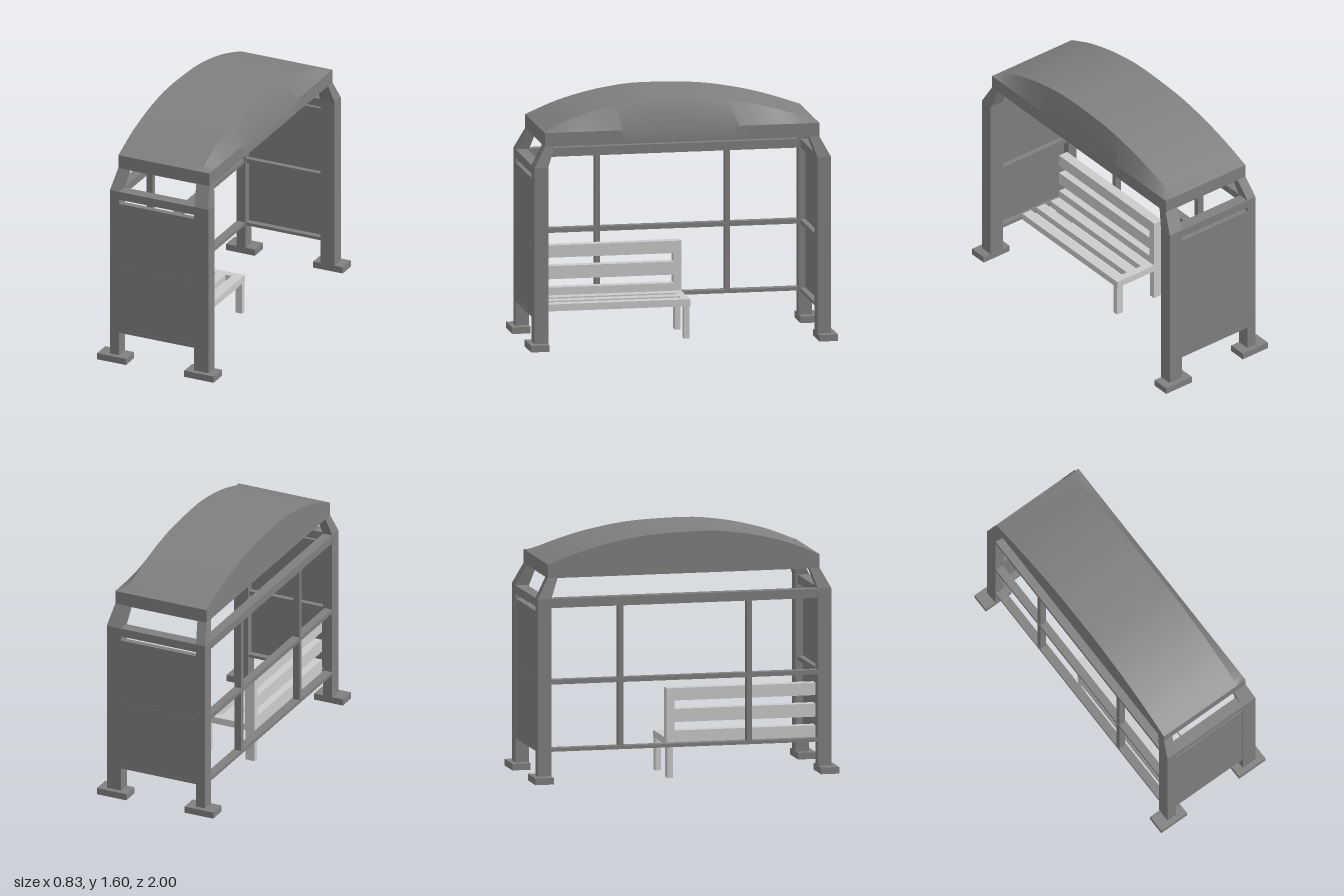
import * as THREE from 'three';
import { toCreasedNormals } from 'three/addons/utils/BufferGeometryUtils.js';

const frameMat = new THREE.MeshStandardMaterial({ color: 0x808080 });
const benchMat = new THREE.MeshStandardMaterial({ color: 0xcccccc });

// Box given by its limits on each axis
function box(parent, name, mat, [x0, x1], [y0, y1], [z0, z1]) {
  const mesh = new THREE.Mesh(new THREE.BoxGeometry(x1 - x0, y1 - y0, z1 - z0), mat);
  mesh.position.set((x0 + x1) / 2, (y0 + y1) / 2, (z0 + z1) / 2);
  mesh.name = name;
  parent.add(mesh);
  return mesh;
}

// Leaning strut: a box whose bottom and top rectangles differ
function strut(parent, name, mat, bottom, top) {
  const geo = new THREE.BoxGeometry(1, 1, 1);
  const p = geo.attributes.position;
  for (let i = 0; i < p.count; i++) {
    const r = p.getY(i) > 0 ? top : bottom;
    p.setXYZ(i, r.x[p.getX(i) > 0 ? 1 : 0], r.y, r.z[p.getZ(i) > 0 ? 1 : 0]);
  }
  geo.computeVertexNormals();
  const mesh = new THREE.Mesh(geo, mat);
  mesh.name = name;
  parent.add(mesh);
}

// Arched roof with a bevelled open-side edge, lofted along z
function roofGeometry() {
  const arch = new THREE.SplineCurve([
    [-0.895, 1.42], [-0.7, 1.487], [-0.5, 1.541], [-0.25, 1.584], [0, 1.598],
    [0.2, 1.598], [0.35, 1.582], [0.5, 1.555], [0.7, 1.5], [0.895, 1.42],
  ].map(([z, y]) => new THREE.Vector2(z, y)));
  const rings = arch.getPoints(36).map(({ x: z, y }) => [
    [-0.315, 1.33, z], [0.335, 1.33, z], [0.335, 1.42, z], [0.27, y, z], [-0.315, y, z],
  ]);
  const pos = [];
  const tri = (...corners) => corners.forEach((c) => pos.push(...c));
  for (let i = 0; i < rings.length - 1; i++) {
    const a = rings[i], b = rings[i + 1];
    for (let j = 0; j < 5; j++) {
      const k = (j + 1) % 5;
      tri(a[j], a[k], b[k]);
      tri(a[j], b[k], b[j]);
    }
  }
  const first = rings[0], last = rings[rings.length - 1];
  for (let j = 1; j < 4; j++) {
    tri(first[0], first[j + 1], first[j]);
    tri(last[0], last[j], last[j + 1]);
  }
  const geo = new THREE.BufferGeometry();
  geo.setAttribute('position', new THREE.Float32BufferAttribute(pos, 3));
  return toCreasedNormals(geo, 0.4);
}

export function createModel() {
  const model = new THREE.Group();
  model.name = 'shelter';

  const roof = new THREE.Mesh(roofGeometry(), frameMat);
  roof.name = 'roof';
  model.add(roof);

  // Both end walls, mirrored along z
  for (const s of [1, -1]) {
    const end = new THREE.Group();
    end.name = s > 0 ? 'frontEnd' : 'rearEnd';
    const span = (a, b) => (s > 0 ? [a, b] : [-b, -a]);

    // Posts with foot plates and leaning tops
    const posts = [
      { side: 'right', low: [-0.34, -0.275], high: [-0.315, -0.25], foot: [-0.415, -0.21] },
      { side: 'left', low: [0.26, 0.36], high: [0.24, 0.335], foot: [0.205, 0.415] },
    ];
    for (const { side, low, high, foot } of posts) {
      box(end, side + 'Post', frameMat, low, [0.05, 1.2], span(0.877, 0.967));
      box(end, side + 'Foot', frameMat, foot, [0.01, 0.053], span(0.88, 1));
      strut(end, side + 'RoofStrut', frameMat,
        { x: low, y: 1.2, z: span(0.877, 0.967) },
        { x: high, y: 1.332, z: span(0.83, 0.895) });
    }

    // Wall panel and the rails around it
    const inner = [-0.275, 0.26];
    box(end, 'endPanel', frameMat, inner, [0.21, 1.115], span(0.925, 0.965));
    box(end, 'endTopRail', frameMat, inner, [1.145, 1.2], span(0.89, 0.967));
    box(end, 'endMiddleRail', frameMat, inner, [0.645, 0.675], span(0.89, 0.966));
    box(end, 'endBottomRail', frameMat, inner, [0.21, 0.23], span(0.885, 0.966));
    model.add(end);
  }

  // Open lattice of the back wall
  const back = new THREE.Group();
  back.name = 'backFrame';
  const run = [-0.88, 0.88];
  box(back, 'backTopRail', frameMat, [-0.34, -0.275], [1.168, 1.2], run);
  box(back, 'backTopLip', frameMat, [-0.335, -0.285], [1.14, 1.168], run);
  box(back, 'backMiddleRail', frameMat, [-0.338, -0.285], [0.645, 0.675], run);
  box(back, 'backBottomRail', frameMat, [-0.338, -0.28], [0.21, 0.232], run);
  for (const z of [0.428, -0.418]) {
    box(back, 'backUpright', frameMat, [-0.335, -0.29], [0.23, 1.14], [z - 0.017, z + 0.017]);
  }
  model.add(back);

  // Slatted bench carried by the front end wall and two legs
  const bench = new THREE.Group();
  bench.name = 'bench';
  const length = [-0.05, 0.88];
  for (const y of [[0.21, 0.305], [0.36, 0.445], [0.5, 0.58]]) {
    box(bench, 'backrestSlat', benchMat, [-0.265, -0.2], y, length);
  }
  box(bench, 'backrestEnd', benchMat, [-0.265, -0.2], [0.21, 0.58], [-0.1, -0.05]);
  for (const x of [[-0.2, -0.13], [-0.085, -0.015], [0.03, 0.1]]) {
    box(bench, 'seatSlat', benchMat, x, [0.21, 0.255], length);
  }
  box(bench, 'seatEnd', benchMat, [-0.2, 0.1], [0.21, 0.255], [-0.1, -0.05]);
  for (const x of [[-0.265, -0.2], [0.053, 0.1]]) {
    box(bench, 'benchLeg', benchMat, x, [0, 0.21], [-0.096, -0.058]);
  }
  model.add(bench);

  return model;
}
